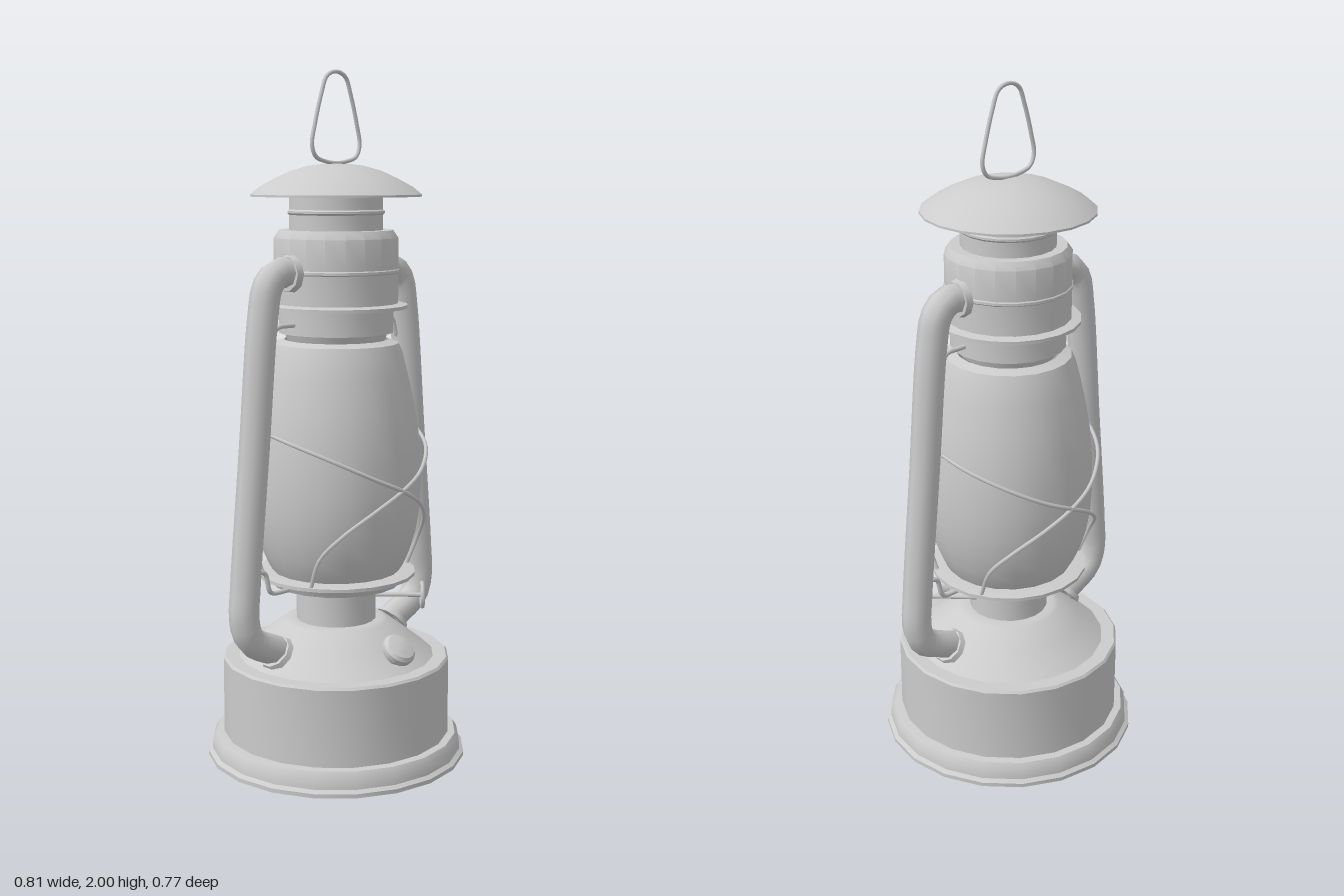
import * as THREE from 'three';
import { toCreasedNormals } from 'three/addons/utils/BufferGeometryUtils.js';

const material = new THREE.MeshStandardMaterial({ color: 0xcccccc, side: THREE.DoubleSide });
const SIDES = 20;

const vec = (x, y, z = 0) => new THREE.Vector3(x, y, z);

function add(parent, name, geometry) {
  const mesh = new THREE.Mesh(geometry, material);
  mesh.name = name;
  parent.add(mesh);
  return mesh;
}

// Turned part from [radius, height] pairs, listed from bottom to top
function turned(parent, name, profile, sides = SIDES) {
  const points = profile.map(([r, y]) => new THREE.Vector2(r, y));
  return add(parent, name, toCreasedNormals(new THREE.LatheGeometry(points, sides), 0.6));
}

// Smooth round bar through points
function bar(parent, name, points, radius, segments = 40, closed = false, sides = 6) {
  const curve = new THREE.CatmullRomCurve3(points, closed, 'centripetal');
  return add(parent, name, new THREE.TubeGeometry(curve, segments, radius, sides, closed));
}

// Wire with tight bends
function bentWire(parent, name, points, radius) {
  const path = new THREE.CurvePath();
  let from = points[0];
  for (let i = 1; i < points.length - 1; i++) {
    const corner = points[i];
    const a = corner.clone().lerp(points[i - 1], 0.3);
    const b = corner.clone().lerp(points[i + 1], 0.3);
    path.add(new THREE.LineCurve3(from, a));
    path.add(new THREE.QuadraticBezierCurve3(a, corner, b));
    from = b;
  }
  path.add(new THREE.LineCurve3(from, points[points.length - 1]));
  return add(parent, name, new THREE.TubeGeometry(path, 28, radius, 6));
}

// Point a part's own y axis along a direction
function aim(object, direction) {
  object.quaternion.setFromUnitVectors(vec(0, 1), direction.clone().normalize());
}

const glassProfile = [
  [0.185, 0.555], [0.2, 0.58], [0.217, 0.62], [0.235, 0.68], [0.246, 0.75], [0.25, 0.82],
  [0.248, 0.9], [0.241, 0.98], [0.228, 1.06], [0.21, 1.14], [0.195, 1.2], [0.182, 1.23], [0.15, 1.24],
];

export function createModel() {
  const lantern = new THREE.Group();
  lantern.name = 'lantern';

  // Fuel tank, open underneath
  turned(lantern, 'fuelTank', [
    [0.372, 0.015], [0.384, 0], [0.384, 0.012], [0.372, 0.02], [0.37, 0.05], [0.358, 0.068], [0.336, 0.07],
    [0.336, 0.295], [0.33, 0.302], [0.29, 0.302], [0.215, 0.36], [0.155, 0.405], [0.14, 0.41], [0.118, 0.41],
  ]);

  // Burner neck, gallery plate and glass
  turned(lantern, 'burnerNeck', [[0.118, 0.405], [0.118, 0.525]]);
  turned(lantern, 'galleryPlate', [
    [0.1, 0.52], [0.19, 0.52], [0.2, 0.54], [0.234, 0.546], [0.234, 0.556], [0.2, 0.56], [0.17, 0.56],
  ]);
  turned(lantern, 'glassGlobe', glassProfile);

  // Collar, hood and chimney
  turned(lantern, 'collar', [
    [0.14, 1.235], [0.15, 1.26], [0.166, 1.26], [0.166, 1.33], [0.207, 1.33], [0.207, 1.34], [0.18, 1.345],
  ]);
  turned(lantern, 'hood', [
    [0.18, 1.34], [0.18, 1.43], [0.183, 1.433], [0.183, 1.44], [0.18, 1.443],
    [0.18, 1.53], [0.165, 1.552], [0.13, 1.552],
  ]);
  turned(lantern, 'chimney', [
    [0.135, 1.55], [0.135, 1.595], [0.14, 1.6], [0.14, 1.606], [0.135, 1.61], [0.135, 1.705],
  ]);
  turned(lantern, 'rainCap', [
    [0.238, 1.655], [0.246, 1.646], [0.246, 1.652], [0.22, 1.673], [0.18, 1.695],
    [0.13, 1.718], [0.08, 1.732], [0.04, 1.737], [0, 1.738],
  ]);

  // Hanging loop
  const half = [[0.04, 1.744], [0.08, 1.758], [0.094, 1.79], [0.082, 1.85], [0.058, 1.93], [0.036, 1.98]];
  const loop = [vec(0, 1.74), ...half.map(([x, y]) => vec(x, y)), vec(0, 1.993),
    ...half.slice().reverse().map(([x, y]) => vec(-x, y))];
  bar(lantern, 'hangingLoop', loop, 0.006, 64, true);

  // Side tubes with their flanges and bracing wires
  for (const s of [1, -1]) {
    const side = new THREE.Group();
    side.name = s > 0 ? 'leftFrame' : 'rightFrame';
    lantern.add(side);
    bar(side, 'sideTube', [
      [0.16, 1.435], [0.225, 1.438], [0.263, 1.405], [0.282, 1.32], [0.318, 0.95],
      [0.355, 0.57], [0.36, 0.47], [0.338, 0.41], [0.225, 0.35],
    ].map(([x, y]) => vec(s * x, y)), 0.043, 44, false, 8);

    const topFlange = add(side, 'topFlange', new THREE.CylinderGeometry(0.05, 0.054, 0.02, 10));
    topFlange.position.set(s * 0.186, 1.435, 0);
    aim(topFlange, vec(s, 0));
    const footFlange = add(side, 'footFlange', new THREE.CylinderGeometry(0.05, 0.056, 0.016, 10));
    footFlange.position.set(s * 0.242, 0.352, 0);
    aim(footFlange, vec(s * 0.75, 0.66));

    bentWire(side, 'upperBrace',
      [[0.16, 1.29], [0.235, 1.29], [0.258, 1.22], [0.3, 1.22]].map(([x, y]) => vec(s * x, y)), 0.007);
    bentWire(side, 'lowerBrace',
      [[0.35, 0.6], [0.28, 0.6], [0.264, 0.528], [0.18, 0.528]].map(([x, y]) => vec(s * x, y)), 0.007);
  }

  // Crossed guard wires, front and back
  const guard = [[0, 0.252, 0.985], [20, 0.256, 0.965], [45, 0.262, 0.925], [70, 0.267, 0.872],
    [90, 0.268, 0.83], [110, 0.265, 0.78], [130, 0.258, 0.715], [145, 0.246, 0.645], [153, 0.222, 0.555]];
  for (const sx of [1, -1]) {
    for (const sz of [1, -1]) {
      bar(lantern, 'guardWire', guard.map(([degrees, r, y]) => {
        const a = THREE.MathUtils.degToRad(degrees);
        return vec(sx * r * Math.cos(a), y, sz * r * Math.sin(a));
      }), 0.006, 36);
    }
  }

  // Wick adjuster: shaft, wheel and crossbar
  const adjuster = new THREE.Group();
  adjuster.name = 'wickAdjuster';
  adjuster.position.set(0.228, 0.458, 0.138);
  adjuster.rotation.y = Math.PI / 4;
  lantern.add(adjuster);
  add(adjuster, 'wheel', new THREE.TorusGeometry(0.035, 0.0075, 6, 20));
  const shaft = add(adjuster, 'shaft', new THREE.CylinderGeometry(0.007, 0.007, 0.2, 8));
  shaft.rotation.x = Math.PI / 2;
  shaft.position.z = -0.095;
  add(adjuster, 'crossbar', new THREE.CylinderGeometry(0.005, 0.005, 0.07, 6));

  // Filler cap on the tank shoulder
  const filler = new THREE.Group();
  filler.name = 'fillerCap';
  filler.position.set(0, 0.335, 0.232);
  aim(filler, vec(0, 0.77, 0.63));
  lantern.add(filler);
  turned(filler, 'fillerNeck', [[0.032, -0.02], [0.032, 0.026]], 14);
  turned(filler, 'fillerLid', [
    [0.03, 0.024], [0.047, 0.024], [0.05, 0.03], [0.05, 0.045], [0.042, 0.055], [0.02, 0.06], [0, 0.061],
  ], 14);

  return lantern;
}
